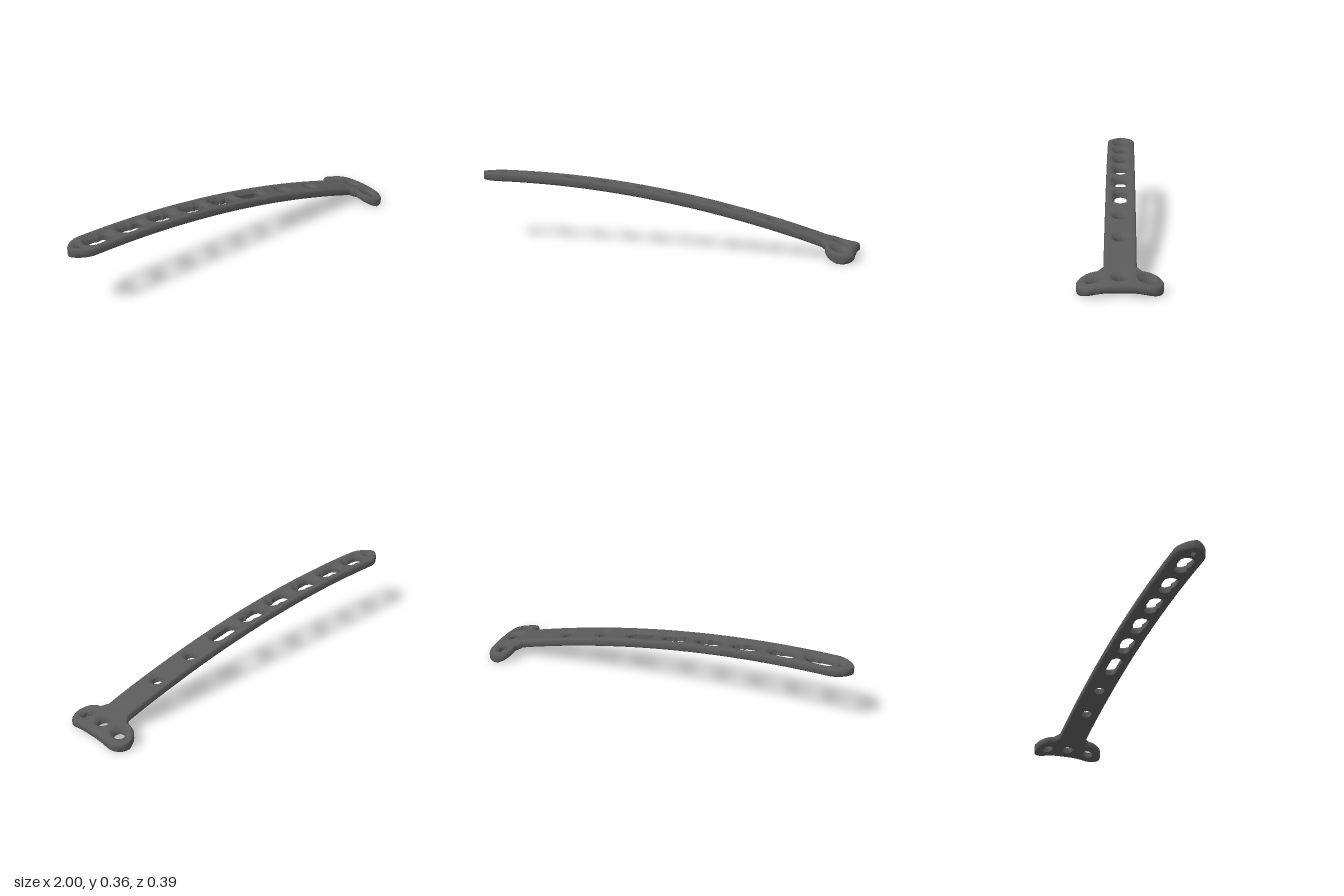
import * as THREE from 'three';
import { toCreasedNormals } from 'three/addons/utils/BufferGeometryUtils.js';

const THICK = 0.044, CX = 0.92;

// Top surface of the bent plate: arched along x, drooping sideways at the head
function topY(x, z) {
  const y = x < 0.85 ? 0.374 - 0.088 * Math.pow(Math.max(0, x + 0.9), 2)
    : 0.1045 - 0.23 * (x - 0.85);
  const side = Math.max(0, Math.abs(z) - 0.03) / 0.15;
  return y - 0.026 * side * side * THREE.MathUtils.smoothstep(x, 0.78, 0.86);
}

// Holes are capsules {a, b, r} lying along the sweep axis t
const holeHalfWidth = (holes, t) => Math.max(0, ...holes.map(({ a, b, r }) => {
  const d = t - THREE.MathUtils.clamp(t, a, b);
  return Math.sqrt(Math.max(0, r * r - d * d));
}));
function sink(holes, t, u) {
  const d = Math.min(...holes.map(({ a, b, r }) =>
    Math.hypot(t - THREE.MathUtils.clamp(t, a, b), u) - r));
  const k = THREE.MathUtils.clamp(1 - d / 0.02, 0, 1);
  return 0.017 * k * k * (2 - k);
}

// Sample positions: even steps, closer together at hole ends and rounded tips
function samples(from, to, step, holes, tips) {
  const ts = [];
  const n = Math.round((to - from) / step);
  for (let i = 0; i <= n; i++) ts.push(from + (to - from) * i / n);
  for (let k = 0; k <= 8; k++) {
    const c = Math.cos(k / 8 * Math.PI / 2);
    for (const { a, b, r } of holes) ts.push(a - r * c, b + r * c);
    for (const [tip, size] of tips) ts.push(tip + size * (1 - c));
  }
  return ts.sort((p, q) => p - q).filter((t, i, all) => i === 0 || t - all[i - 1] > 1e-6);
}

// Sweeps a round-edged half section on both sides of the hole line
function perforatedPlate({ ts, holes, outer, round, place, flip }) {
  const pos = [], idx = [];
  const TOP = 10, ARC = 8, BOTTOM = 3;
  for (const sign of [1, -1]) {
    const start = pos.length / 3;
    const ring = TOP + ARC + BOTTOM;
    const open = [];
    for (const t of ts) {
      const w = outer(t, sign);
      const h = Math.min(holeHalfWidth(holes, t), w);
      const r = Math.min(round, w - h);
      const flat = w - r;
      open.push(h > 1e-6);
      const add = (u, drop) => {
        const [x, z] = place(t, sign * u);
        pos.push(x, topY(x, z) - drop, z);
      };
      for (let j = 0; j < TOP; j++) {
        const u = h + (flat - h) * j / TOP;
        add(u, sink(holes, t, u));
      }
      for (let j = 0; j < ARC; j++) {
        const a = j / (ARC - 1) * Math.PI;
        add(flat + r * Math.sin(a),
          j < ARC / 2 ? Math.max(round * (1 - Math.cos(a)), sink(holes, t, flat + r * Math.sin(a)))
            : THICK - round * (1 + Math.cos(a)));
      }
      for (let j = 1; j <= BOTTOM; j++) add(flat + (h - flat) * j / BOTTOM, THICK);
    }
    for (let i = 0; i < ts.length - 1; i++) {
      for (let j = 0; j < ring; j++) {
        // the hole wall exists only where the hole is open
        if (j === ring - 1 && !open[i] && !open[i + 1]) continue;
        const k = (j + 1) % ring;
        const a = start + i * ring + j, b = start + i * ring + k;
        const d = a + ring, c = b + ring;
        if (sign * flip > 0) idx.push(a, b, c, a, c, d);
        else idx.push(a, c, b, a, d, c);
      }
    }
  }
  const geo = new THREE.BufferGeometry();
  geo.setAttribute('position', new THREE.Float32BufferAttribute(pos, 3));
  geo.setIndex(idx);
  return toCreasedNormals(geo, 0.8);
}

function shaftGeometry() {
  const holes = [{ a: -0.948, b: -0.937, r: 0.011 }];
  // keyhole slots: a short slot joined to a round hole
  for (const x of [-0.905, -0.71, -0.515, -0.32, -0.13]) {
    holes.push({ a: x + 0.035, b: x + 0.068, r: 0.035 });
    holes.push({ a: x + 0.111, b: x + 0.111, r: 0.031 });
  }
  holes.push({ a: 0.09, b: 0.185, r: 0.03 });                        // plain slot
  for (const x of [0.365, 0.58]) holes.push({ a: x, b: x, r: 0.028 }); // round holes
  return perforatedPlate({
    ts: samples(-1, 0.875, 0.01, holes, [[-1, 0.1]]),
    holes,
    round: 0.012,
    flip: 1,
    place: (t, u) => [t, u],
    // bullet-shaped tip
    outer: (x) => 0.076 * Math.pow(Math.max(0, 1 - Math.pow(Math.max(0, -0.9 - x) / 0.1, 1.6)), 0.6),
  });
}

function headGeometry() {
  const holes = [-0.12, 0, 0.12].map((z) => ({ a: z, b: z, r: 0.029 }));
  const END = 0.195;
  return perforatedPlate({
    ts: samples(-END, END, 0.006, holes, [[-END, 0.075], [END, -0.075]]),
    holes,
    round: 0.017,
    flip: -1,
    place: (t, u) => [CX + u, t],
    outer: (z, sign) => {
      const az = Math.abs(z);
      const lobe = Math.sqrt(Math.max(0, 1 - Math.pow(Math.max(0, az - 0.12) / (END - 0.12), 2)));
      if (sign > 0) return 0.08 * Math.pow(lobe, 0.85);
      // inner edge: fillet into the shaft, then the round lobe
      return 0.066 * lobe + 0.03 * (1 - THREE.MathUtils.smoothstep(az, 0.07, 0.105));
    },
  });
}

export function createModel() {
  const group = new THREE.Group();
  group.name = 'bonePlate';
  const metal = new THREE.MeshStandardMaterial({ color: 0x5a5a5a });
  metal.name = 'darkGreyMetal';
  for (const [name, geo] of [['shaft', shaftGeometry()], ['head', headGeometry()]]) {
    const mesh = new THREE.Mesh(geo, metal);
    mesh.name = name;
    group.add(mesh);
  }
  // rest the lowest point on the ground
  const low = new THREE.Box3().setFromObject(group).min.y;
  for (const mesh of group.children) mesh.geometry.translate(0, -low, 0);
  return group;
}
